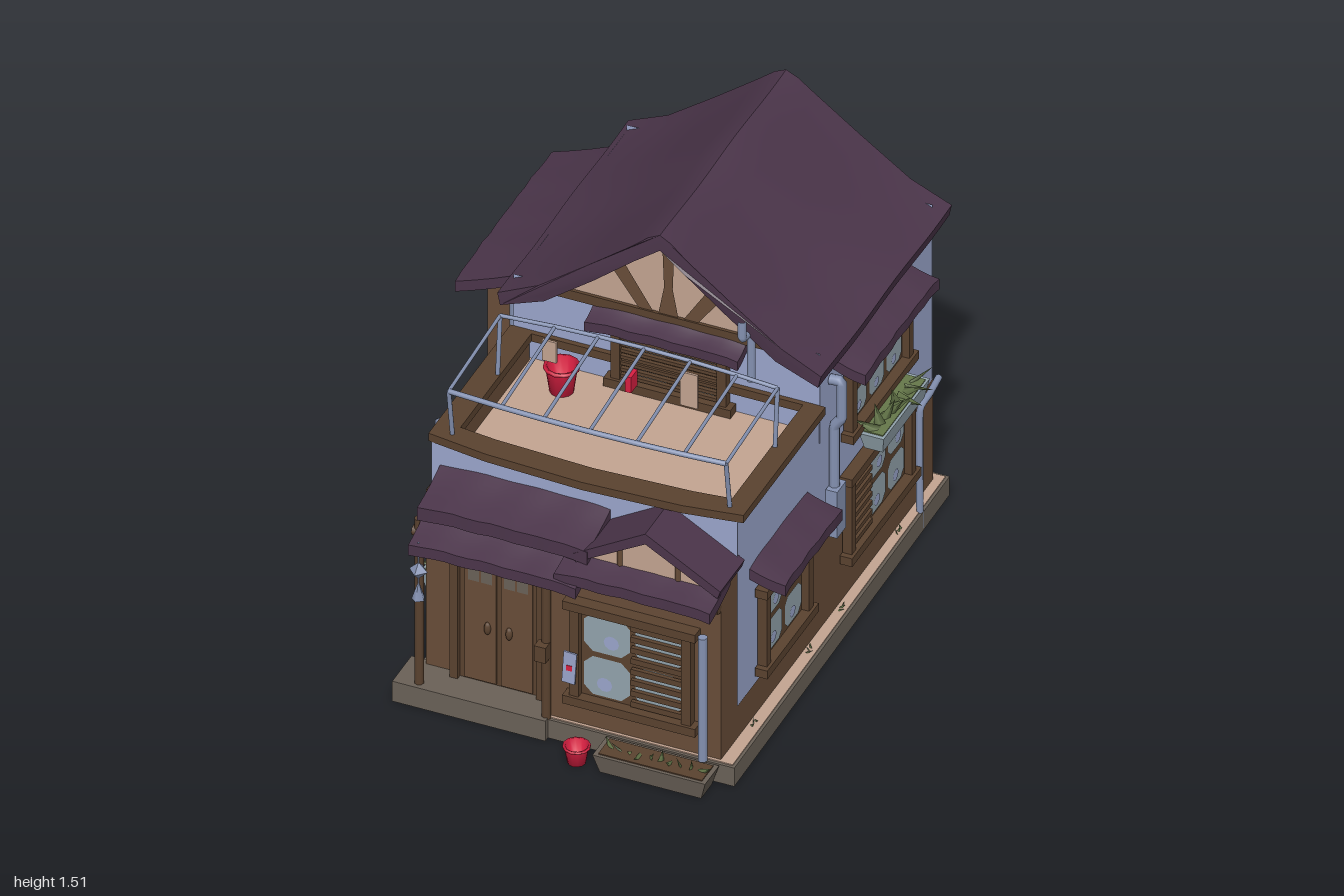
import * as THREE from 'three';
import { toCreasedNormals } from 'three/addons/utils/BufferGeometryUtils.js';

const mat = (name, color, double) => Object.assign(new THREE.MeshStandardMaterial({ color }), { name, side: double ? THREE.DoubleSide : THREE.FrontSide });
const M = {
  roof: mat('plum roof', 0x4b354a), wall: mat('blue plaster', 0x9aa5cb, true), brown: mat('brown plaster', 0x684d38, true),
  wood: mat('dark wood', 0x5a422f, true), beige: mat('beige plaster', 0xc3a491, true), stone: mat('stone', 0x6a6157),
  metal: mat('blue metal', 0x8592b2), glass: mat('pale glass', 0x92a3ac), red: mat('red', 0xd81f41), leaf: mat('leaf green', 0x66784a, true),
};
const V = (x, y, z) => new THREE.Vector3(x, y, z);
let seed = 7;
const rnd = () => (seed = (seed * 16807) % 2147483647) / 2147483647;

function add(parent, name, geo, material, x = 0, y = 0, z = 0) {
  const m = new THREE.Mesh(geo, material);
  m.name = name;
  m.position.set(x, y, z);
  parent.add(m);
  return m;
}
// box given by its min and max on each axis
const box = (p, name, m, x0, x1, y0, y1, z0, z1) =>
  add(p, name, new THREE.BoxGeometry(x1 - x0, y1 - y0, z1 - z0), m, (x0 + x1) / 2, (y0 + y1) / 2, (z0 + z1) / 2);
// flat wall from a list of [u, y] corners at distance z
function panel(p, name, m, pts, z) {
  return add(p, name, new THREE.ShapeGeometry(new THREE.Shape(pts.map(a => new THREE.Vector2(...a)))), m, 0, 0, z);
}
const rect = (p, name, m, u0, u1, y0, y1, z) => panel(p, name, m, [[u0, y0], [u1, y0], [u1, y1], [u0, y1]], z);
function rod(p, name, m, a, b, r = 0.012, sides = 8) {
  const d = b.clone().sub(a), o = add(p, name, new THREE.CylinderGeometry(r, r, d.length(), sides), m);
  o.position.copy(a).addScaledVector(d, 0.5);
  o.quaternion.setFromUnitVectors(V(0, 1, 0), d.normalize());
  return o;
}
const pipe = (p, name, pts, r = 0.012) =>
  add(p, name, new THREE.TubeGeometry(new THREE.CatmullRomCurve3(pts, false, 'catmullrom', 0.08), pts.length * 8, r, 8), M.metal);
// sloping roof slab from the wall (ya, za) to its lip (yb, zb), drooping at both ends
function awning(p, name, u0, u1, ya, za, yb, zb, t = 0.04) {
  const g = new THREE.BoxGeometry(u1 - u0, t, 1, 14, 1, 4), a = g.attributes.position;
  for (let i = 0; i < a.count; i++) {
    const x = a.getX(i), k = a.getZ(i) + 0.5, s = 2 * x / (u1 - u0);
    a.setY(i, a.getY(i) + ya + (yb - ya) * k - 0.006 * Math.sin(k * Math.PI) + 0.0015 * Math.sin(x * 33 + k * 2) - 0.009 * s ** 4);
    a.setX(i, x + (u0 + u1) / 2);
    a.setZ(i, za + (zb - za) * k + 0.002 * Math.sin(x * 47) * k);
  }
  return add(p, name, toCreasedNormals(g, 0.7), M.roof);
}
// framed window with panes, and slats over the columns from slat0 to slat1
function windowUnit(p, u0, u1, y0, y1, z, cols, rows, slat0 = 0, slat1 = 0) {
  const w = new THREE.Group(), f = 0.032;
  w.name = 'window';
  p.add(w);
  box(w, 'windowBack', M.wood, u0, u1, y0, y1, z + 0.002, z + 0.009);
  const pw = (u1 - u0 - 2 * f) / cols, ph = (y1 - y0 - 2 * f) / rows;
  for (let i = 0; i < cols; i++) for (let j = 0; j < rows; j++) {
    const a = pw / 2 - 0.01, b = ph / 2 - 0.01, c = Math.min(a, b) * 0.4, cu = u0 + f + (i + 0.5) * pw, cy = y0 + f + (j + 0.5) * ph;
    panel(w, 'pane', M.glass, [[-a + c, -b], [a - c, -b], [a, -b + c], [a, b - c], [a - c, b], [-a + c, b], [-a, b - c], [-a, -b + c]], 0).position.set(cu, cy, z + 0.012);
    if (i < slat0 || i >= slat1) {
      add(w, 'paneGlint', new THREE.CircleGeometry(c * 0.9, 10), M.wall, cu + (j ? 0.2 : -0.1) * a, cy - b * 0.35, z + 0.014);
      continue;
    }
    for (let k = 0; k < 4; k++)
      box(w, 'slat', M.wood, cu - pw / 2, cu + pw / 2, cy - ph / 2 + (k + 0.25) * ph / 4, cy - ph / 2 + (k + 0.75) * ph / 4, z + 0.014, z + 0.028);
  }
  for (const u of [u0, u1 - f]) box(w, 'jamb', M.wood, u, u + f, y0, y1, z + 0.002, z + 0.035);
  for (const y of [y0, y1 - f]) box(w, 'sill', M.wood, u0 - 0.02, u1 + 0.02, y, y + f, z + 0.002, z + 0.045);
}
function door(p, u0, u1, y0, y1, z, leaves) {
  box(p, 'doorFrame', M.wood, u0, u1, y0, y1, z, z + 0.015);
  const w = (u1 - u0 - 0.05) / leaves;
  for (let i = 0; i < leaves; i++) {
    const a = u0 + 0.025 + i * w;
    box(p, 'doorLeaf', M.brown, a + 0.008, a + w - 0.008, y0 + 0.01, y1 - 0.04, z + 0.012, z + 0.022);
    for (let k = 0; k < 2; k++) rect(p, 'doorGlass', M.stone, a + w * (0.16 + k * 0.36), a + w * (0.46 + k * 0.36), y1 - 0.11, y1 - 0.055, z + 0.024);
    add(p, 'doorHandle', new THREE.SphereGeometry(0.012, 8, 6), M.wood, a + w * (i ? 0.3 : 0.7), (y0 + y1) / 2 - 0.03, z + 0.024).scale.y = 2;
  }
  for (const u of [u0, u1]) box(p, 'doorPost', M.wood, u - 0.014, u + 0.014, y0, y1, z, z + 0.035);
  box(p, 'doorLintel', M.wood, u0 - 0.04, u1 + 0.04, y1 - 0.02, y1 + 0.015, z, z + 0.045);
}
function plants(p, u, y, z, w, n, size) {
  for (let i = 0; i < n; i++) {
    const l = add(p, 'leaf', new THREE.ConeGeometry(0.022, 0.09, 4).translate(0, 0.035, 0), M.leaf, u + (i / Math.max(1, n - 1) - 0.5) * w, y, z);
    l.rotation.set((rnd() - 0.35) * 2.2, rnd() * 3, (rnd() - 0.5) * 2);
    l.scale.set(size, size, size * 0.4);
  }
}
// trough that narrows toward its base
function planter(p, u, y, z, w, h, d, m, n, size = 1) {
  const g = new THREE.BoxGeometry(w, h, d), a = g.attributes.position;
  for (let i = 0; i < a.count; i++) if (a.getY(i) < 0) a.setXYZ(i, a.getX(i) * 0.9, a.getY(i), a.getZ(i) * 0.75);
  g.computeVertexNormals();
  add(p, 'planter', g, m, u, y + h / 2, z);
  box(p, 'planterSoil', size < 1 ? M.wood : M.leaf, u - w * 0.46, u + w * 0.46, y + h - 0.002, y + h + 0.004, z - d * 0.4, z + d * 0.4);
  plants(p, u, y + h, z, w * 0.8, n, size);
}
function bucket(p, x, y, z, r, h) {
  const pts = [[0, 0], [r * 0.72, 0], [r * 0.95, h * 0.9], [r * 1.08, h * 0.9], [r * 1.08, h], [r * 0.88, h], [r * 0.65, h * 0.15], [0, h * 0.15]];
  add(p, 'bucket', new THREE.LatheGeometry(pts.map(a => new THREE.Vector2(...a)), 12), M.red, x, y, z);
}
function chime(p, x, y, z) {
  rod(p, 'chimeString', M.metal, V(x, y - 0.1, z), V(x, y + 0.11, z), 0.003, 5);
  add(p, 'chimeBell', new THREE.OctahedronGeometry(0.032), M.metal, x, y, z);
  add(p, 'chimeTail', new THREE.ConeGeometry(0.022, 0.07, 5), M.metal, x, y - 0.075, z);
}
// log above a window, with two projecting brackets
function logShelf(p, u0, u1, y, z, out) {
  rod(p, 'logRail', M.wood, V(u0, y, z + 0.03), V(u1, y, z + 0.03), 0.024);
  for (const u of [u0 + 0.04, u1 - 0.04]) {
    rod(p, 'bracketArm', M.wood, V(u, y, z), V(u, y, z + out), 0.013, 6);
    rod(p, 'bracketStrut', M.wood, V(u, y - 0.09, z), V(u, y, z + out), 0.012, 6);
  }
}
// angled gutter pipe ending in a box
function downpipe(p, u, z) {
  pipe(p, 'downpipe', [V(u, 1.0, z), V(u, 1.0, z + 0.04), V(u, 0.86, z + 0.04), V(u, 0.82, z + 0.015), V(u, 0.58, z + 0.015)], 0.018);
  box(p, 'pipeBox', M.metal, u - 0.035, u + 0.035, 0.41, 0.59, z, z + 0.04);
}

export function createModel() {
  const house = new THREE.Group();
  house.name = 'house';
  // one frame per side: local x runs along the wall, local z points outward
  const [front, right, back, left] = ['frontSide', 'rightSide', 'backSide', 'leftSide'].map((name, i) => {
    const g = new THREE.Group();
    g.name = name;
    g.rotation.y = i * Math.PI / 2;
    house.add(g);
    return g;
  });

  // hollow foundation with a pale top, and steps
  const ring = (outer, hole, h, name, m, y) => {
    const s = new THREE.Shape(outer.map(a => new THREE.Vector2(...a)));
    s.holes.push(new THREE.Path(hole.map(a => new THREE.Vector2(...a))));
    add(house, name, new THREE.ExtrudeGeometry(s, { depth: h, bevelEnabled: false }).rotateX(Math.PI / 2), m, 0, y, 0);
  };
  const inner = [[-0.47, -0.79], [0.57, -0.79], [0.57, 0.715], [-0.47, 0.715]];
  ring([[-0.5, -0.84], [0.62, -0.84], [0.635, 0.87], [-0.5, 0.87]], inner, 0.072, 'foundation', M.stone, 0.072);
  ring([[-0.49, -0.83], [0.61, -0.83], [0.625, 0.86], [-0.49, 0.86]], inner, 0.004, 'foundationTop', M.beige, 0.076);
  box(house, 'frontStep', M.stone, -0.54, -0.01, 0, 0.078, 0.74, 0.89);
  box(house, 'backStep', M.stone, -0.44, 0, 0, 0.045, -0.9, -0.8);

  // right wall (u = -z): blue shell with brown facing
  panel(right, 'rightWall', M.wall, [[-0.72, 0.07], [0.8, 0.07], [0.8, 1.13], [-0.08, 1.13], [-0.08, 0.93], [-0.72, 0.93]], 0.577);
  panel(right, 'rightFacing', M.brown, [[-0.72, 0.07], [0.8, 0.07], [0.8, 0.47], [-0.4, 0.47], [-0.4, 0.2], [-0.72, 0.2]], 0.58);
  windowUnit(right, -0.57, -0.21, 0.23, 0.57, 0.58, 2, 2);
  windowUnit(right, 0.09, 0.59, 0.23, 0.57, 0.58, 3, 2, 0, 1);
  windowUnit(right, 0.1, 0.57, 0.7, 1, 0.58, 3, 2);
  awning(right, 'windowAwning', -0.62, -0.17, 0.66, 0.57, 0.625, 0.7);
  awning(right, 'windowAwning', 0.03, 0.6, 1.05, 0.57, 1.015, 0.69);
  planter(right, 0.32, 0.64, 0.66, 0.36, 0.065, 0.085, M.glass, 10);
  downpipe(right, 0, 0.58);
  pipe(right, 'cornerPipe', [V(0.63, 0.01, 0.61), V(0.63, 0.47, 0.61), V(0.7, 0.48, 0.61), V(0.8, 0.48, 0.6)]);
  for (const u of [-0.63, -0.2, 0.05, 0.5]) plants(right, u, 0.076, 0.595, 0.03, 3, 0.25);

  // left wall (u = z)
  panel(left, 'leftWall', M.wall, [[-0.8, 0.07], [0.72, 0.07], [0.72, 0.93], [0.08, 0.93], [0.08, 1.13], [-0.8, 1.13]], 0.477);
  rect(left, 'leftFacing', M.brown, -0.8, 0.76, 0.07, 0.2, 0.48);
  windowUnit(left, 0.2, 0.56, 0.23, 0.55, 0.48, 2, 2);
  windowUnit(left, -0.62, -0.12, 0.23, 0.57, 0.48, 3, 2);
  logShelf(left, 0.18, 0.58, 0.55, 0.48, 0.09);
  planter(left, 0.37, 0.19, 0.55, 0.34, 0.065, 0.1, M.glass, 14, 1.15);
  box(left, 'bay', M.brown, -0.69, -0.07, 0.68, 0.985, 0.478, 0.6);
  for (const u of [-0.7, -0.1]) box(left, 'bayCorner', M.brown, u, u + 0.04, 0.68, 1, 0.478, 0.632);
  box(left, 'bayFloor', M.wood, -0.72, -0.04, 0.66, 0.69, 0.478, 0.625);
  windowUnit(left, -0.6, -0.14, 0.72, 0.965, 0.595, 3, 2);
  awning(left, 'bayRoof', -0.76, 0, 1.1, 0.45, 0.985, 0.72);
  downpipe(left, -0.02, 0.48);
  pipe(left, 'terraceDrain', [V(0.62, 0.93, 0.42), V(0.62, 0.93, 0.5), V(0.62, 0.7, 0.5), V(0.62, 0.69, 0.44)]);
  box(left, 'meterBox', M.brown, -0.76, -0.68, 0.3, 0.45, 0.48, 0.52);

  // back wall (u = -x)
  rect(back, 'backWall', M.wall, -0.58, 0.48, 0.07, 1.15, 0.797);
  rect(back, 'backFacing', M.brown, -0.58, 0.48, 0.07, 0.47, 0.8);
  windowUnit(back, -0.48, -0.1, 0.24, 0.56, 0.8, 2, 2);
  logShelf(back, -0.49, -0.09, 0.55, 0.8, 0.09);
  planter(back, -0.29, 0.2, 0.85, 0.34, 0.065, 0.085, M.glass, 10);
  door(back, 0.04, 0.31, 0.05, 0.53, 0.8, 2);
  awning(back, 'doorAwning', -0.02, 0.36, 0.63, 0.79, 0.6, 0.89, 0.03);
  windowUnit(back, -0.25, 0.17, 0.66, 1.01, 0.8, 3, 2, 0, 1);
  awning(back, 'windowAwning', -0.35, 0.25, 1.12, 0.79, 1.065, 0.93, 0.03);
  rod(back, 'dryingPole', M.wood, V(-0.26, 0.83, 0.895), V(0.18, 0.83, 0.895), 0.01);
  for (const u of [-0.2, 0.12]) {
    rod(back, 'poleArm', M.wood, V(u, 0.83, 0.8), V(u, 0.83, 0.91), 0.01, 6);
    rod(back, 'poleString', M.wood, V(u, 1.06, 0.88), V(u, 0.71, 0.915), 0.003, 5);
  }
  box(back, 'meterBox', M.brown, -0.52, -0.42, 0.72, 0.92, 0.8, 0.85);
  pipe(back, 'backPipe', [V(-0.47, 0.72, 0.82), V(-0.47, 0.6, 0.82), V(-0.55, 0.58, 0.82), V(-0.56, 0.48, 0.81)]);
  chime(back, 0.23, 0.95, 0.965);

  // upper front wall, and matching gables at both ends
  rect(front, 'upperFrontWall', M.wall, -0.48, 0.58, 0.8, 1.15, 0.08);
  for (const [side, s, z] of [[front, 1, 0.08], [back, -1, 0.8]]) {
    const c = 0.06 * s;
    panel(side, 'gable', M.beige, [[c - 0.42, 1.13], [c + 0.42, 1.13], [c, 1.47]], z + 0.004);
    box(side, 'gableTie', M.wood, c - 0.42, c + 0.42, 1.12, 1.155, z, z + 0.015);
    panel(side, 'gablePost', M.brown, [[c - 0.035, 1.15], [c + 0.035, 1.15], [c + 0.015, 1.26], [c + 0.022, 1.45], [c - 0.022, 1.45], [c - 0.015, 1.26]], z + 0.01);
    for (const m of [-1, 1]) {
      const brace = [[0.05, 1.15], [0.1, 1.15], [0.2, 1.29], [0.16, 1.325]].map(([u, y]) => [c + m * u, y]);
      panel(side, 'gableBrace', M.brown, brace, z + 0.009);
    }
  }

  // main roof
  const half = [[0, 1.51], [0.04, 1.49], [0.1, 1.44], [0.25, 1.32], [0.42, 1.19], [0.56, 1.125]];
  const under = [[0.55, 1.08], [0.4, 1.135], [0.23, 1.265], [0.09, 1.385], [0, 1.45]];
  const mirror = a => a.map(([x, y]) => [-x, y]).reverse();
  const outline = [...mirror(half).slice(0, -1), ...half, ...under, ...mirror(under).slice(1)];
  const rg = new THREE.ExtrudeGeometry(new THREE.Shape(outline.map(([x, y]) => new THREE.Vector2(x + 0.06, y))), { depth: 1.02, steps: 14, bevelEnabled: false });
  const rp = rg.attributes.position;
  for (let i = 0; i < rp.count; i++) {
    const x = rp.getX(i), z = rp.getZ(i) - 0.86;
    rp.setXYZ(i, x, rp.getY(i) + 0.004 * Math.sin(z * 11) - 0.003, z - (z < -0.5 ? 0 : 0.004 * Math.sin(x * 30)) + (z < -0.8 ? 0.08 * (rp.getY(i) - 1.08) : 0));
  }
  add(house, 'mainRoof', toCreasedNormals(rg, 0.6), M.roof);

  // terrace
  rect(front, 'innerFrontWall', M.wall, -0.48, 0.58, 0.07, 0.93, 0.72);
  rect(front, 'doorInside', M.wood, -0.37, -0.07, 0.07, 0.58, 0.714);
  box(house, 'terraceFloor', M.beige, -0.47, 0.57, 0.82, 0.84, 0.08, 0.71);
  box(house, 'parapetLeft', M.brown, -0.47, -0.42, 0.84, 0.925, 0.09, 0.71);
  box(house, 'parapetRight', M.brown, 0.54, 0.57, 0.84, 0.925, 0.09, 0.71);
  box(house, 'parapetFront', M.brown, -0.47, 0.57, 0.84, 0.925, 0.685, 0.715);
  ring([[-0.49, 0.082], [0.6, 0.082], [0.6, 0.72], [0.4, 0.75], [0.06, 0.765], [-0.28, 0.75], [-0.49, 0.72]],
    [[-0.41, 0.1], [0.53, 0.1], [0.53, 0.65], [0.4, 0.665], [0.06, 0.68], [-0.28, 0.665], [-0.41, 0.65]], 0.03, 'parapetCap', M.wood, 0.95);
  windowUnit(front, -0.13, 0.27, 0.84, 1.1, 0.08, 2, 2, 0, 2);
  awning(front, 'terraceAwning', -0.2, 0.33, 1.125, 0.07, 1.09, 0.16, 0.035);
  bucket(house, -0.26, 0.84, 0.2, 0.055, 0.1);
  pipe(house, 'fluePipe', [V(0.36, 1.01, 0.12), V(0.36, 1.2, 0.12), V(0.36, 1.22, 0.19), V(0.36, 1.29, 0.19)], 0.015);

  // terrace rail frame with hanging cloths
  const bow = x => 1 - ((x - 0.06) / 0.48) ** 2, bars = [-0.42, -0.23, -0.08, 0.08, 0.24, 0.4, 0.54];
  const rear = x => V(x, 1.165 + 0.02 * bow(x), 0.32), fore = x => V(x, 1.135 + 0.01 * bow(x), 0.72 + 0.03 * bow(x));
  pipe(house, 'rearRail', bars.map(rear), 0.007);
  pipe(house, 'frontRail', bars.map(fore), 0.009);
  for (const x of bars) rod(house, 'crossBar', M.metal, rear(x), fore(x), 0.006, 6);
  for (const x of [-0.42, 0.54]) {
    rod(house, 'railPost', M.metal, V(x, 0.94, 0.34), rear(x), 0.008);
    rod(house, 'railPost', M.metal, V(x, 0.94, 0.69), fore(x), 0.008);
  }
  box(house, 'hangingCloth', M.beige, 0.22, 0.28, 1.03, 1.16, 0.35, 0.358);
  box(house, 'hangingCloth', M.beige, -0.25, -0.2, 1.08, 1.16, 0.37, 0.378);
  box(house, 'redCloth', M.red, 0.077, 0.098, 1.11, 1.17, 0.415, 0.465);

  // porch
  rect(front, 'doorWall', M.brown, -0.48, 0, 0.07, 0.76, 0.76);
  rect(front, 'shopWall', M.brown, -0.01, 0.58, 0.07, 0.76, 0.85);
  rect(right, 'porchSide', M.brown, -0.85, -0.72, 0.07, 0.78, 0.58);
  rect(left, 'porchSide', M.brown, 0.7, 0.76, 0.07, 0.76, 0.48);
  rect(left, 'shopReturn', M.brown, 0.76, 0.85, 0.07, 0.76, 0.01);
  door(front, -0.37, -0.07, 0.075, 0.58, 0.76, 2);
  for (const x of [-0.46, -0.02]) rod(house, 'porchPost', M.wood, V(x, 0.07, 0.86), V(x, 0.72, 0.86), 0.016);
  rod(house, 'porchBeam', M.wood, V(-0.48, 0.67, 0.86), V(0.58, 0.67, 0.86), 0.018);
  box(house, 'letterBox', M.wood, -0.045, -0.005, 0.31, 0.37, 0.86, 0.9);
  windowUnit(front, 0.07, 0.49, 0.17, 0.57, 0.85, 2, 2, 1, 2);
  box(house, 'notice', M.wall, 0.055, 0.1, 0.26, 0.38, 0.896, 0.902).rotation.z = -0.06;
  box(house, 'noticeMark', M.red, 0.067, 0.088, 0.31, 0.33, 0.9, 0.904);
  rod(house, 'shopPipe', M.metal, V(0.53, 0.08, 0.88), V(0.53, 0.56, 0.88), 0.016);
  awning(house, 'porchRoof', -0.45, 0.14, 0.825, 0.71, 0.775, 0.9, 0.05);
  awning(house, 'porchLip', -0.45, 0.13, 0.74, 0.8, 0.68, 0.97);
  awning(house, 'shopLip', 0.05, 0.59, 0.755, 0.8, 0.71, 0.96);
  panel(front, 'porchGable', M.beige, [[0.12, 0.75], [0.58, 0.75], [0.34, 0.89]], 0.87);
  const pg = [[0.09, 0.77], [0.34, 0.92], [0.6, 0.77], [0.59, 0.74], [0.34, 0.88], [0.1, 0.74]].map(a => new THREE.Vector2(...a));
  add(house, 'porchGableRoof', new THREE.ExtrudeGeometry(new THREE.Shape(pg), { depth: 0.19, bevelEnabled: false }), M.roof, 0, 0, 0.71);
  for (const x of [0.24, 0.44]) rod(house, 'porchGableStud', M.brown, V(x, 0.75, 0.868), V(x, 0.82, 0.868), 0.01, 6);
  chime(house, -0.42, 0.59, 0.955);
  planter(house, 0.39, 0, 0.93, 0.39, 0.07, 0.11, M.stone, 10, 0.6);
  bucket(house, 0.125, 0, 0.95, 0.042, 0.065);
  return house;
}
